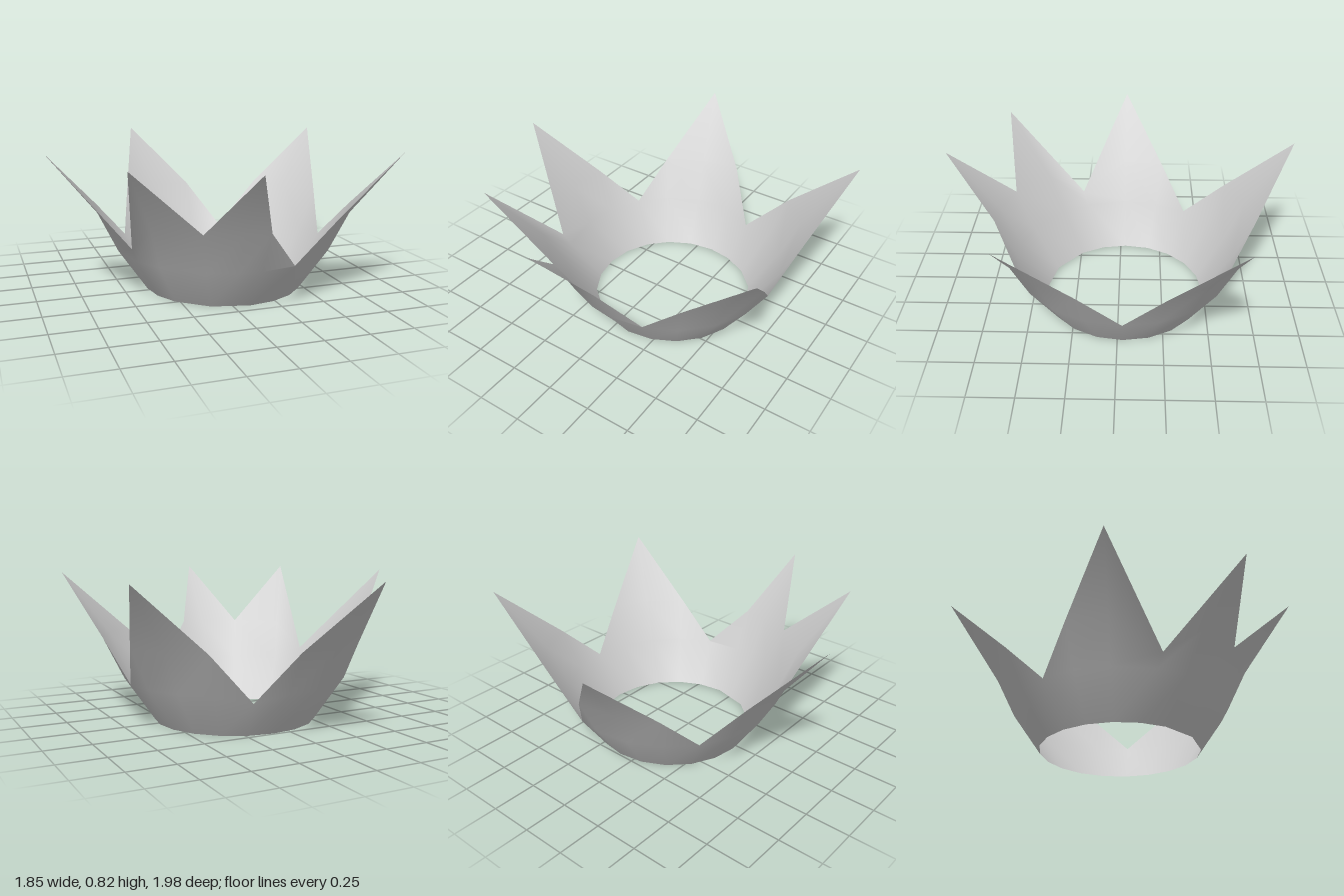
import * as THREE from 'three';

// Flared wall profile: [height, radius]
const PROFILE = [[0, 0.46], [0.24, 0.625], [0.47, 0.738], [0.82, 1.02]];
const CENTRE = { x: 0.095, z: -0.03 };

// Wall columns round the ring: [angle at rim, rim height, angle at base, base radius]
const COLUMNS = [
  [-144, 0.24], [-126, 0.47], [-108, 0.82], [-90, 0.47], [-72.6, 0.2],
  [-54, 0.47], [-36, 0.82], [-18, 0.47], [0, 0.24], [18, 0.47],
  [36, 0.82], [54, 0.47], [72, 0.245], [90, 0.47], [99, 0.82, 103, 0.447],
  [117, 0.47], [135, 0.82, 144], [156, 0.32, 162], [180, 0.82], [198, 0.47],
];

function radiusAt(y) {
  let i = 1;
  while (i < PROFILE.length - 1 && y > PROFILE[i][0]) i++;
  const [y0, r0] = PROFILE[i - 1], [y1, r1] = PROFILE[i];
  return THREE.MathUtils.mapLinear(y, y0, y1, r0, r1);
}

function crownGeometry() {
  const positions = [], index = [];

  // Each column stops at its own rim height; higher rows share its rim vertex
  const ids = COLUMNS.map(([angle, top, baseAngle = angle, baseRadius]) => {
    let last = -1;
    return PROFILE.map(([level], row) => {
      if (row > 0 && PROFILE[row - 1][0] >= top) return last;
      const y = Math.min(level, top);
      const a = THREE.MathUtils.degToRad(THREE.MathUtils.lerp(baseAngle, angle, y / top));
      const r = row === 0 && baseRadius ? baseRadius : radiusAt(y);
      positions.push(CENTRE.x + r * Math.cos(a), y, CENTRE.z + r * Math.sin(a));
      last = positions.length / 3 - 1;
      return last;
    });
  });

  // Join neighbouring columns, leaving out collapsed triangles
  const addTriangle = (a, b, c) => {
    if (a !== b && b !== c && a !== c) index.push(a, b, c);
  };
  ids.forEach((col, i) => {
    const next = ids[(i + 1) % ids.length];
    for (let row = 0; row < PROFILE.length - 1; row++) {
      addTriangle(col[row], col[row + 1], next[row]);
      addTriangle(next[row], col[row + 1], next[row + 1]);
    }
  });

  const geometry = new THREE.BufferGeometry();
  geometry.setAttribute('position', new THREE.Float32BufferAttribute(positions, 3));
  geometry.setIndex(index);
  geometry.computeVertexNormals();
  return geometry;
}

export function createModel() {
  const group = new THREE.Group();
  group.name = 'crown';
  const material = new THREE.MeshStandardMaterial({ color: 0xcccccc, side: THREE.DoubleSide });
  const wall = new THREE.Mesh(crownGeometry(), material);
  wall.name = 'pointedWall';
  group.add(wall);
  return group;
}
